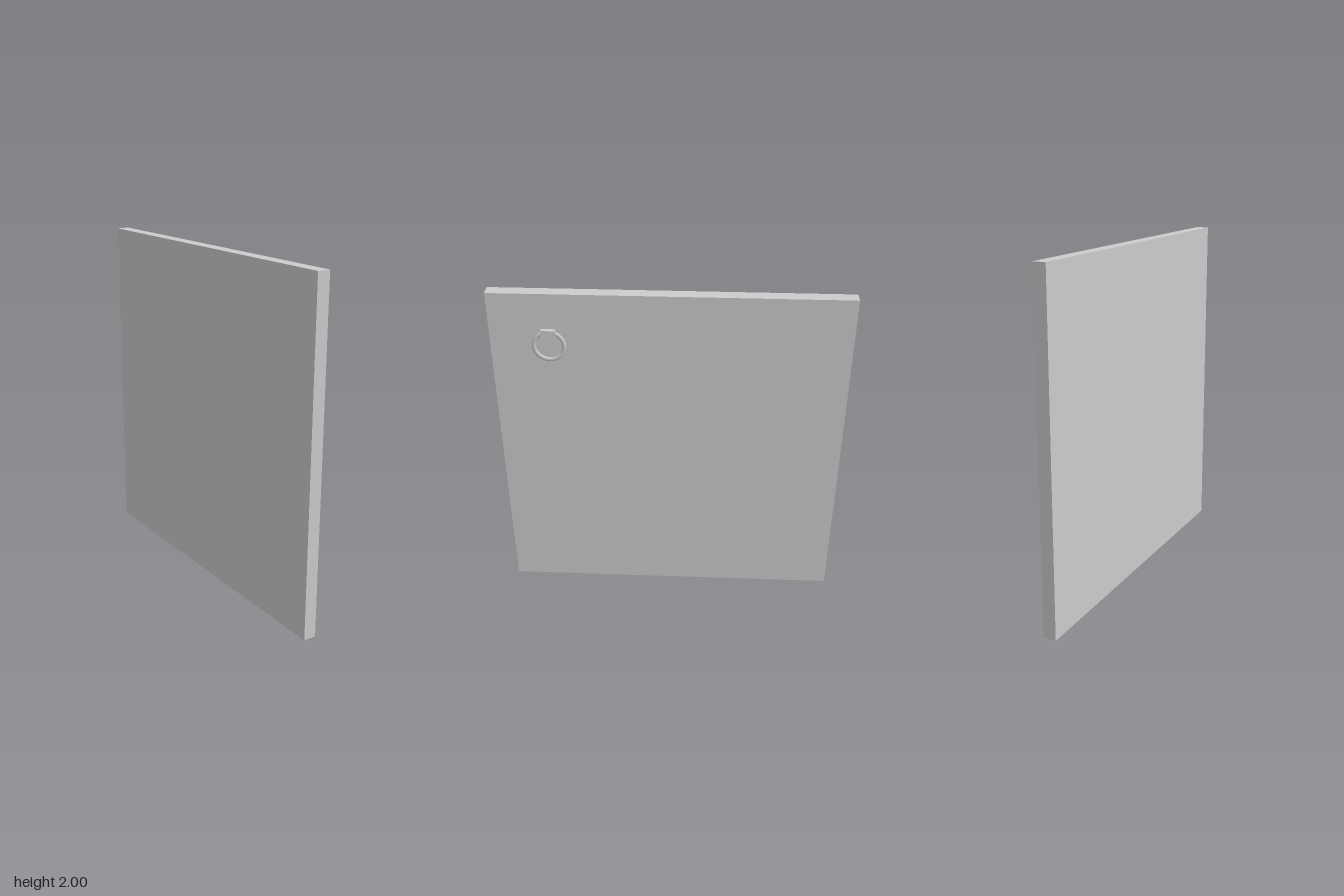
import * as THREE from 'three';

export function createModel() {
  const group = new THREE.Group();
  const material = new THREE.MeshStandardMaterial({ color: 0xcccccc });

  const add = (name, geometry, x, y, z) => {
    const mesh = new THREE.Mesh(geometry, material);
    mesh.name = name;
    mesh.position.set(x, y, z);
    group.add(mesh);
    return mesh;
  };

  // Door slab, standing edge-on to the front
  add('doorPanel', new THREE.BoxGeometry(0.075, 2, 2), -0.0125, 1, 0);

  // Bracket holding the top of the ring
  add('ringBracket', new THREE.BoxGeometry(0.026, 0.04, 0.08), 0.037, 1.772, 0.67);

  // Slightly flattened pull ring, hanging parallel to the door face
  const ring = new THREE.TorusGeometry(0.084, 0.012, 16, 48);
  ring.scale(1, 1, 0.65).rotateY(Math.PI / 2);
  add('pullRing', ring, 0.038, 1.696, 0.67);

  return group;
}
